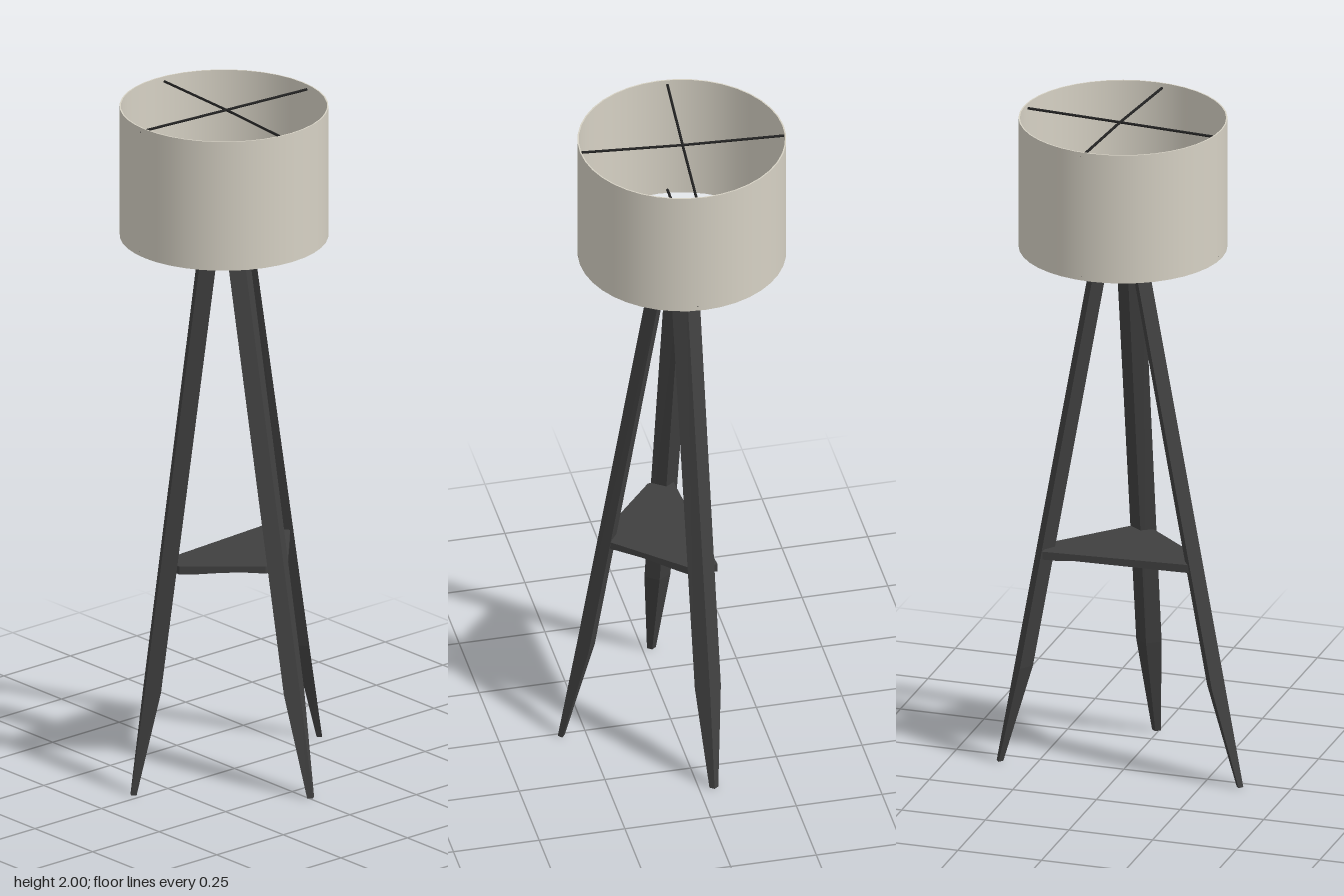
import * as THREE from 'three';

const HUB_Z = -0.035; // depth of the lamp's vertical axis

function makeMaterial(name, color, extra = {}) {
  const m = new THREE.MeshStandardMaterial({ color, ...extra });
  m.name = name;
  return m;
}

// Tapered leg with a diamond section, leaning out along +z
function legGeometry() {
  // y, outer edge distance, half depth, half width, sideways drift
  const levels = [
    [1.555, 0.09, 0.026, 0.041, -0.009],
    [0.3, 0.312, 0.027, 0.038, 0.007],
    [0, 0.366, 0.01, 0.013, 0.008],
  ];
  const rings = levels.map(([y, out, d, w, x]) => [
    [x, y, out], [x + w, y, out - d], [x, y, out - 2 * d], [x - w, y, out - d],
  ]);
  const pos = [];
  const quad = (a, b, c, d) => pos.push(...a, ...b, ...c, ...a, ...c, ...d);
  for (let l = 0; l < rings.length - 1; l++) {
    const top = rings[l], low = rings[l + 1];
    for (let i = 0; i < 4; i++) {
      const j = (i + 1) % 4;
      quad(low[i], low[j], top[j], top[i]);
    }
  }
  quad(...rings[0]);
  quad(...[...rings[2]].reverse());
  const g = new THREE.BufferGeometry();
  g.setAttribute('position', new THREE.Float32BufferAttribute(pos, 3));
  g.computeVertexNormals();
  return g;
}

// Shelf with cut corners, its underside arched between the legs
function shelfGeometry() {
  const corners = [[-0.22, -0.057], [-0.22, 0.015], [-0.035, 0.175],
    [0.04, 0.185], [0.218, -0.01], [0.215, -0.087]];
  const pts = [];
  corners.forEach(([x, z], i) => {
    const [x2, z2] = corners[(i + 1) % corners.length];
    const n = i % 2 ? 10 : 1; // long edges are subdivided
    for (let k = 0; k < n; k++) {
      const t = k / n;
      pts.push(new THREE.Vector2(x + (x2 - x) * t, -(z + (z2 - z) * t)));
    }
  });
  const g = new THREE.ExtrudeGeometry(new THREE.Shape(pts), { depth: 0.024, bevelEnabled: false });
  g.rotateX(-Math.PI / 2);
  const p = g.attributes.position;
  for (let i = 0; i < p.count; i++) {
    if (p.getY(i) < 0.01) {
      const r = Math.hypot(p.getX(i), p.getZ(i) - 0.01);
      p.setY(i, 0.015 * (1 - THREE.MathUtils.smoothstep(r, 0.08, 0.2)));
    }
  }
  g.computeVertexNormals();
  return g;
}

export function createModel() {
  const model = new THREE.Group();
  model.name = 'tripodFloorLamp';

  const wood = makeMaterial('charcoalWood', 0x404040, { flatShading: true });
  const metal = makeMaterial('blackMetal', 0x222222);
  const fabric = makeMaterial('creamFabric', 0xd6d1c4, { side: THREE.DoubleSide });
  const glass = makeMaterial('bulbGlass', 0xe0dccf);

  const add = (name, geometry, material, x = 0, y = 0, z = 0) => {
    const mesh = new THREE.Mesh(geometry, material);
    mesh.name = name;
    mesh.position.set(x, y, z);
    model.add(mesh);
    return mesh;
  };

  // Three legs: front, left and right
  const leg = legGeometry();
  [['frontLeg', 0], ['leftLeg', 1], ['rightLeg', -1]].forEach(([name, turn]) => {
    add(name, leg, wood, 0, 0, HUB_Z).rotation.y = turn * Math.PI / 2;
  });

  // Shelf and top plate
  add('shelf', shelfGeometry(), wood, 0, 0.645, 0);
  const plate = add('topPlate', new THREE.BoxGeometry(0.128, 0.025, 0.128), wood, -0.001, 1.5475, -0.034);
  plate.rotation.y = Math.PI / 4 - 0.1;

  // Stem and bulb
  add('stem', new THREE.CylinderGeometry(0.013, 0.013, 0.145, 16), wood, 0, 1.6275, HUB_Z);
  const bulbProfile = [[0, 0], [0.012, 0], [0.014, 0.02], [0.024, 0.042], [0.03, 0.065],
    [0.026, 0.083], [0.014, 0.094], [0, 0.097]].map(([x, y]) => new THREE.Vector2(x, y));
  add('bulb', new THREE.LatheGeometry(bulbProfile, 20), glass, 0, 1.698, HUB_Z);

  // Drum shade: thin wall, open at both ends
  const R = 0.297, r = 0.293, H = 0.39, bottom = 1.61, cx = -0.009;
  add('shadeOuter', new THREE.CylinderGeometry(R, R, H, 40, 1, true), fabric, cx, bottom + H / 2, HUB_Z);
  add('shadeInner', new THREE.CylinderGeometry(r, r, H, 40, 1, true), fabric, cx, bottom + H / 2, HUB_Z);
  for (const [name, y] of [['shadeTopRim', bottom + H], ['shadeBottomRim', bottom]]) {
    add(name, new THREE.RingGeometry(r, R, 40), fabric, cx, y, HUB_Z).rotation.x = -Math.PI / 2;
  }

  // Wire spokes: a flat cross above, a raised cross on the stem below
  const ends = [[-0.304, -0.061], [0.286, -0.012], [0.02, -0.33], [-0.03, 0.26]];
  for (const [name, hubY, endY] of [['upperSpoke', 1.985, 1.985], ['lowerSpoke', 1.695, 1.62]]) {
    for (const [x, z] of ends) {
      const path = new THREE.LineCurve3(new THREE.Vector3(0, hubY, HUB_Z), new THREE.Vector3(x, endY, z));
      add(name, new THREE.TubeGeometry(path, 1, 0.004, 6), metal);
    }
  }
  return model;
}
